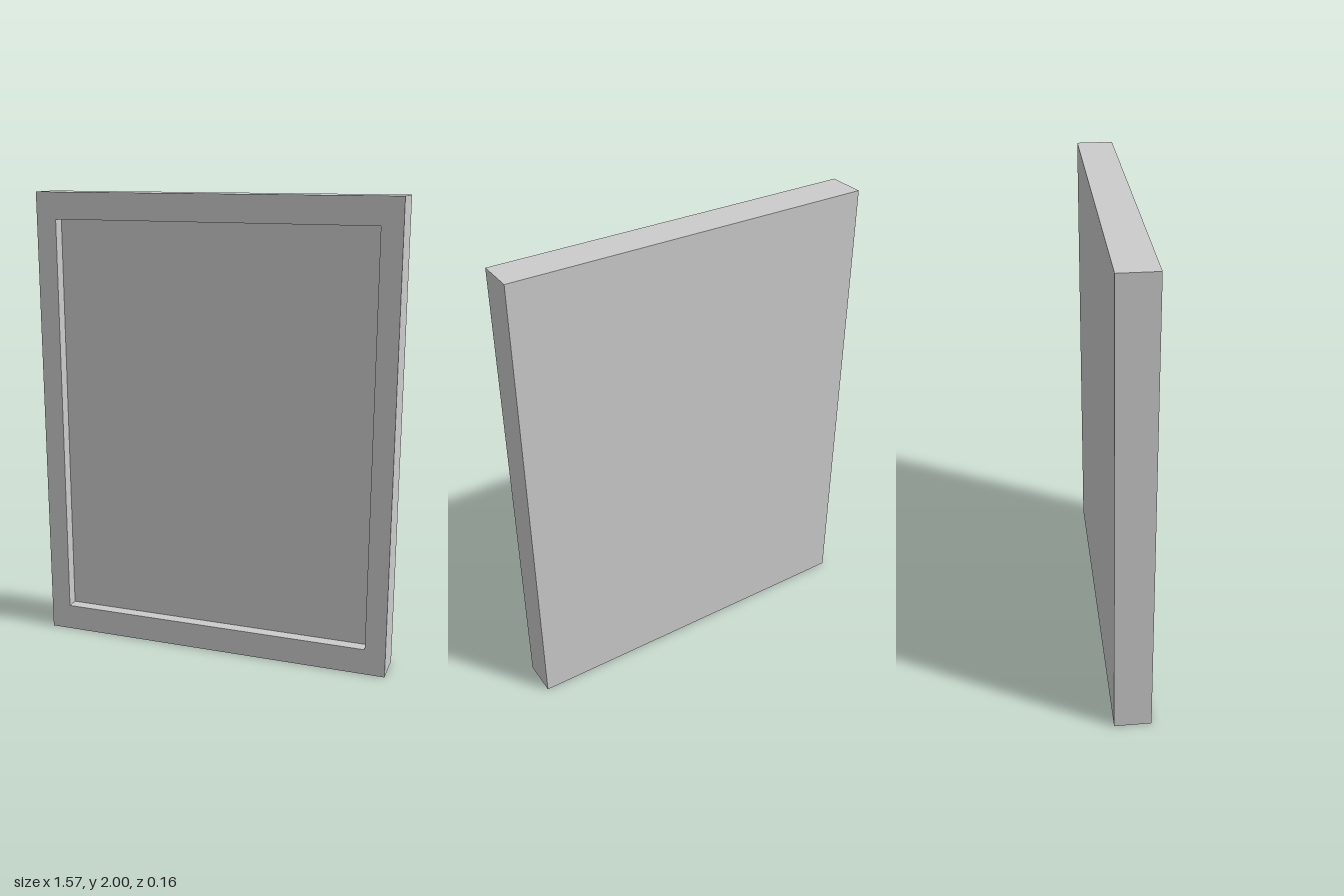
import * as THREE from 'three';

const WIDTH = 1.57, HEIGHT = 2, DEPTH = 0.156;
const RECESS = 0.052;                      // how far the panel sits behind the frame face
const OPEN_W = 1.392, OPEN_H = 1.772;      // frame opening

// Corners of a centred rectangle
const rect = (w, h) => [[-1, -1], [1, -1], [1, 1], [-1, 1]]
  .map(([x, y]) => new THREE.Vector2(x * w / 2, y * h / 2));

export function createModel() {
  const group = new THREE.Group();
  group.name = 'framedPanel';
  const material = new THREE.MeshStandardMaterial({ color: 0xcccccc });

  // Solid slab forming the back and the recessed face
  const slabDepth = DEPTH - RECESS;
  const panel = new THREE.Mesh(new THREE.BoxGeometry(WIDTH, HEIGHT, slabDepth), material);
  panel.name = 'backPanel';
  panel.position.set(0, HEIGHT / 2, -DEPTH / 2 + slabDepth / 2);

  // Raised border around the recess
  const outline = new THREE.Shape(rect(WIDTH, HEIGHT));
  outline.holes.push(new THREE.Path(rect(OPEN_W, OPEN_H).reverse()));
  const frame = new THREE.Mesh(
    new THREE.ExtrudeGeometry(outline, { depth: RECESS, bevelEnabled: false }), material);
  frame.name = 'frame';
  frame.position.set(0, HEIGHT / 2, DEPTH / 2 - RECESS);

  group.add(panel, frame);
  return group;
}
